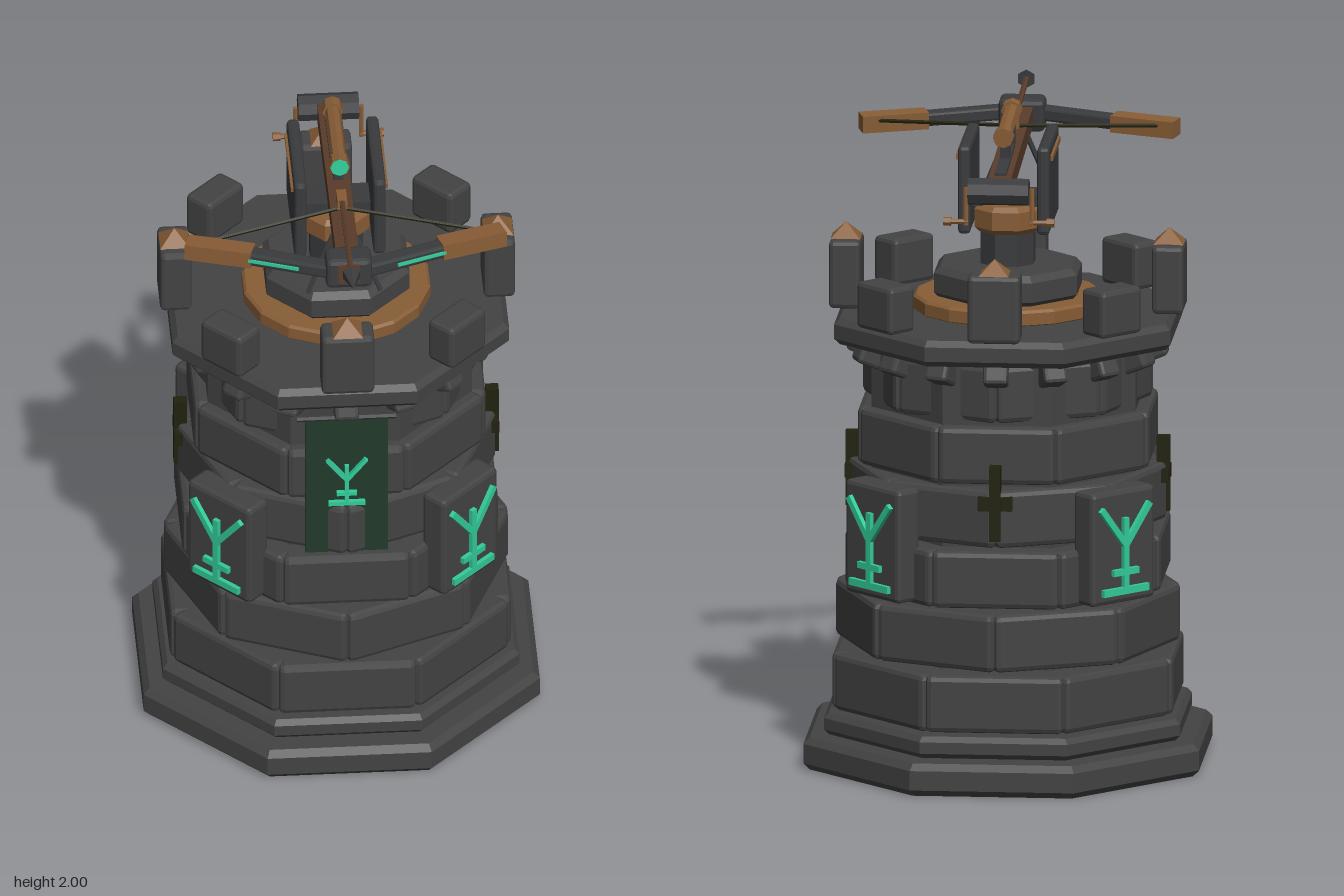
import * as THREE from 'three';
import { RoundedBoxGeometry } from 'three/addons/geometries/RoundedBoxGeometry.js';

const paint = (name, color) => {
  const m = new THREE.MeshStandardMaterial({ color, flatShading: true });
  m.name = name;
  return m;
};

export function createModel() {
  const stone = paint('dark stone', 0x434343);
  const iron = paint('iron', 0x3a3b3d);
  const wood = paint('warm wood', 0x885d36);
  const darkWood = paint('dark wood', 0x5a3d2b);
  const glow = paint('rune teal', 0x32cc9a);
  const cloth = paint('banner green', 0x22392a);
  const slitMat = paint('slit olive', 0x22220f);

  const model = new THREE.Group();
  const group = (name, parent) => {
    const g = new THREE.Group();
    g.name = name;
    parent.add(g);
    return g;
  };
  const add = (parent, name, geo, mat, x = 0, y = 0, z = 0) => {
    const m = new THREE.Mesh(geo, mat);
    m.name = name;
    m.position.set(x, y, z);
    parent.add(m);
    return m;
  };
  const box = (w, h, d) => new THREE.BoxGeometry(w, h, d);
  const block = (w, h, d, r = 0.014) => new RoundedBoxGeometry(w, h, d, 1, r);
  // Thin round bar between two points
  const bar = (parent, name, a, b, r, mat, sides = 6) => {
    const p = new THREE.Vector3(...a), q = new THREE.Vector3(...b);
    const m = add(parent, name, new THREE.CylinderGeometry(r, r, p.distanceTo(q), sides), mat);
    m.position.copy(p).add(q).multiplyScalar(0.5);
    m.quaternion.setFromUnitVectors(new THREE.Vector3(0, 1, 0), q.sub(p).normalize());
    return m;
  };
  // Bevelled slab with flat sides facing the axes; size is the flat-side radius
  const slab = (parent, name, size, y0, y1, bevel, mat, sides = 8) => {
    const k = 1 / Math.cos(Math.PI / sides), r = size * k, b = bevel;
    const pts = [[0, y0], [r - b, y0], [r, y0 + b], [r, y1 - b], [r - b, y1], [0, y1]];
    return add(parent, name, new THREE.LatheGeometry(
      pts.map(p => new THREE.Vector2(...p)), sides, Math.PI / sides), mat);
  };

  // Tower body
  const tower = group('tower', model);
  tower.position.z = -0.08;
  slab(tower, 'basePlinth', 0.6, 0, 0.1, 0.02, stone);
  slab(tower, 'upperPlinth', 0.54, 0.105, 0.172, 0.016, stone);
  slab(tower, 'core', 0.4, 0.15, 1.32, 0.01, stone);
  slab(tower, 'battlementDeck', 0.51, 1.31, 1.39, 0.018, stone);

  // Six staggered courses of eight blocks
  [0.517, 0.488, 0.478, 0.452, 0.442, 0.412].forEach((size, row) => {
    const course = group('stoneCourse' + (row + 1), tower);
    const depth = 0.13, y = 0.268 + row * 0.1885;
    const length = 2 * size * Math.tan(Math.PI / 8) - 0.012;
    for (let i = 0; i < 8; i++) {
      const a = (i + (row % 2) / 2) * Math.PI / 4;
      const b = add(course, 'stoneBlock', block(length, 0.176, depth, 0.017), stone,
        Math.sin(a) * (size - depth / 2), y, Math.cos(a) * (size - depth / 2));
      b.rotation.y = a;
    }
  });

  // Corbels under the deck
  for (let i = 0; i < 16; i++) {
    const holder = group('corbel', tower);
    holder.rotation.y = i * Math.PI / 8;
    add(holder, 'corbelStone', block(0.075, 0.07, 0.09, 0.012), stone, 0, 1.272, 0.435).rotation.x = -0.4;
  }

  // Rune drawn in bars, origin at the middle of its foot
  const rune = (parent, s) => {
    const g = group('rune', parent);
    const stroke = (x0, y0, x1, y1, w) => {
      const m = add(g, 'runeStroke', box(Math.hypot(x1 - x0, y1 - y0) * s, w * s, 0.014), glow,
        (x0 + x1) / 2 * s, (y0 + y1) / 2 * s, 0);
      m.rotation.z = Math.atan2(y1 - y0, x1 - x0);
    };
    stroke(-0.09, 0.01, 0.09, 0.01, 0.022);
    stroke(-0.05, 0.068, 0.05, 0.068, 0.02);
    stroke(0, 0.01, 0, 0.235, 0.02);
    for (const k of [-1, 1]) stroke(0, 0.15, k * 0.095, 0.27, 0.02);
    return g;
  };

  for (let i = 0; i < 8; i++) {
    const side = group(i % 2 ? 'cornerSide' : 'mainSide', tower);
    side.rotation.y = i * Math.PI / 4;
    if (i % 2) {
      // Rune panel and low merlon on the diagonal sides
      add(side, 'runePanel', block(0.25, 0.35, 0.09), stone, 0, 0.74, 0.497);
      rune(side, 1).position.set(0, 0.595, 0.549);
      add(side, 'lowMerlon', block(0.16, 0.145, 0.1), stone, 0, 1.46, 0.485);
    } else {
      // Tall capped merlon
      add(side, 'tallMerlon', block(0.16, 0.21, 0.095), stone, 0, 1.495, 0.49);
      add(side, 'merlonCap', new THREE.ConeGeometry(0.064, 0.046, 4, 1, false, Math.PI / 4), wood, 0, 1.622, 0.49);
      // Cross-shaped arrow slits everywhere but the front
      if (i) {
        add(side, 'arrowSlit', box(0.034, 0.23, 0.04), slitMat, 0, 0.885, 0.472);
        add(side, 'arrowSlitArm', box(0.104, 0.042, 0.04), slitMat, 0, 0.885, 0.471);
      }
    }
  }

  // Front banner
  const banner = group('banner', tower);
  add(banner, 'bannerCloth', box(0.25, 0.495, 0.008), cloth, 0, 0.998, 0.462);
  bar(banner, 'bannerRod', [-0.15, 1.25, 0.46], [0.15, 1.25, 0.46], 0.01, iron);
  rune(banner, 0.62).position.set(0, 0.932, 0.473);

  // Turntable
  const turntable = group('turntable', tower);
  slab(turntable, 'woodRing', 0.282, 1.385, 1.437, 0.008, wood, 16);
  slab(turntable, 'turningPlate', 0.217, 1.43, 1.53, 0.02, stone);
  slab(turntable, 'neck', 0.08, 1.52, 1.64, 0.005, iron);
  slab(turntable, 'woodYoke', 0.098, 1.63, 1.715, 0.015, wood);

  // Side shields with wooden trim
  const weapon = group('ballista', model);
  for (const k of [-1, 1]) {
    add(weapon, 'sideShield', block(0.038, 0.272, 0.345, 0.012), iron, k * 0.12, 1.783, -0.072);
    add(weapon, 'shieldTrim', box(0.01, 0.016, 0.28), wood, k * 0.142, 1.88, -0.072);
    bar(weapon, 'prop', [k * 0.03, 1.85, 0.25], [k * 0.11, 1.65, 0.28], 0.008, iron);
    // Winding cranks
    bar(weapon, 'crankArm', [k * 0.1, 1.83, -0.415], [k * 0.1, 1.715, -0.415], 0.008, wood);
    bar(weapon, 'crankGrip', [k * 0.095, 1.725, -0.415], [k * 0.15, 1.725, -0.415], 0.008, wood);
    bar(weapon, 'gripKnob', [k * 0.145, 1.725, -0.415], [k * 0.168, 1.725, -0.415], 0.014, wood);
  }
  add(weapon, 'shieldBridge', box(0.22, 0.04, 0.1), iron, 0, 1.73, -0.08);

  // Tilted crossbow
  const bow = group('crossbow', weapon);
  bow.position.set(0, 1.847, 0.02);
  bow.rotation.x = -0.056;
  add(bow, 'stock', box(0.07, 0.06, 0.9), darkWood, 0, 0, 0.028);
  add(bow, 'stockRailTop', box(0.035, 0.012, 0.32), iron, 0, 0.033, -0.22);
  add(bow, 'noseBlock', block(0.14, 0.1, 0.09, 0.015), iron, 0, 0, 0.438);
  add(bow, 'noseInset', box(0.065, 0.065, 0.008), darkWood, 0, 0.004, 0.484);
  bar(bow, 'windingDrum', [-0.092, 0, -0.447], [0.092, 0, -0.447], 0.042, iron, 8);

  for (const k of [-1, 1]) {
    const limb = group('bowLimb', bow);
    const a = 0.37;
    add(limb, 'limbIron', block(0.26, 0.042, 0.05, 0.008), iron, k * 0.17, 0, 0.402).rotation.y = k * a;
    add(limb, 'limbGlow', box(0.16, 0.01, 0.008), glow,
      k * (0.215 + Math.sin(a) * 0.027), 0, 0.384 + Math.cos(a) * 0.027).rotation.y = k * a;
    add(limb, 'limbWood', box(0.205, 0.052, 0.062), wood, k * 0.381, 0, 0.324).rotation.y = k * 0.31;
    bar(bow, 'bowString', [k * 0.43, 0.01, 0.285], [0, 0.036, 0.165], 0.006, slitMat, 5);
  }

  // Bolt
  const bolt = group('bolt', bow);
  bar(bolt, 'boltShaft', [0, 0.062, 0.12], [0, 0.066, 0.6], 0.009, darkWood);
  add(bolt, 'boltHead', new THREE.ConeGeometry(0.029, 0.078, 6), iron, 0, 0.066, 0.62).rotation.x = Math.PI / 2;
  add(bolt, 'boltNock', box(0.03, 0.034, 0.06), wood, 0, 0.055, 0.15);

  // Sighting scope
  const scope = group('scope', bow);
  bar(scope, 'scopeTube', [0, 0.119, -0.26], [0, 0.119, 0.06], 0.024, wood, 8);
  for (const z of [-0.275, 0.03]) bar(scope, 'scopeCollar', [0, 0.119, z], [0, 0.119, z + 0.04], 0.031, wood, 8);
  bar(scope, 'scopeLens', [0, 0.119, 0.069], [0, 0.119, 0.075], 0.028, glow, 8);
  for (const z of [-0.2, -0.01]) add(scope, 'scopeMount', box(0.03, 0.08, 0.03), iron, 0, 0.06, z);

  return model;
}
